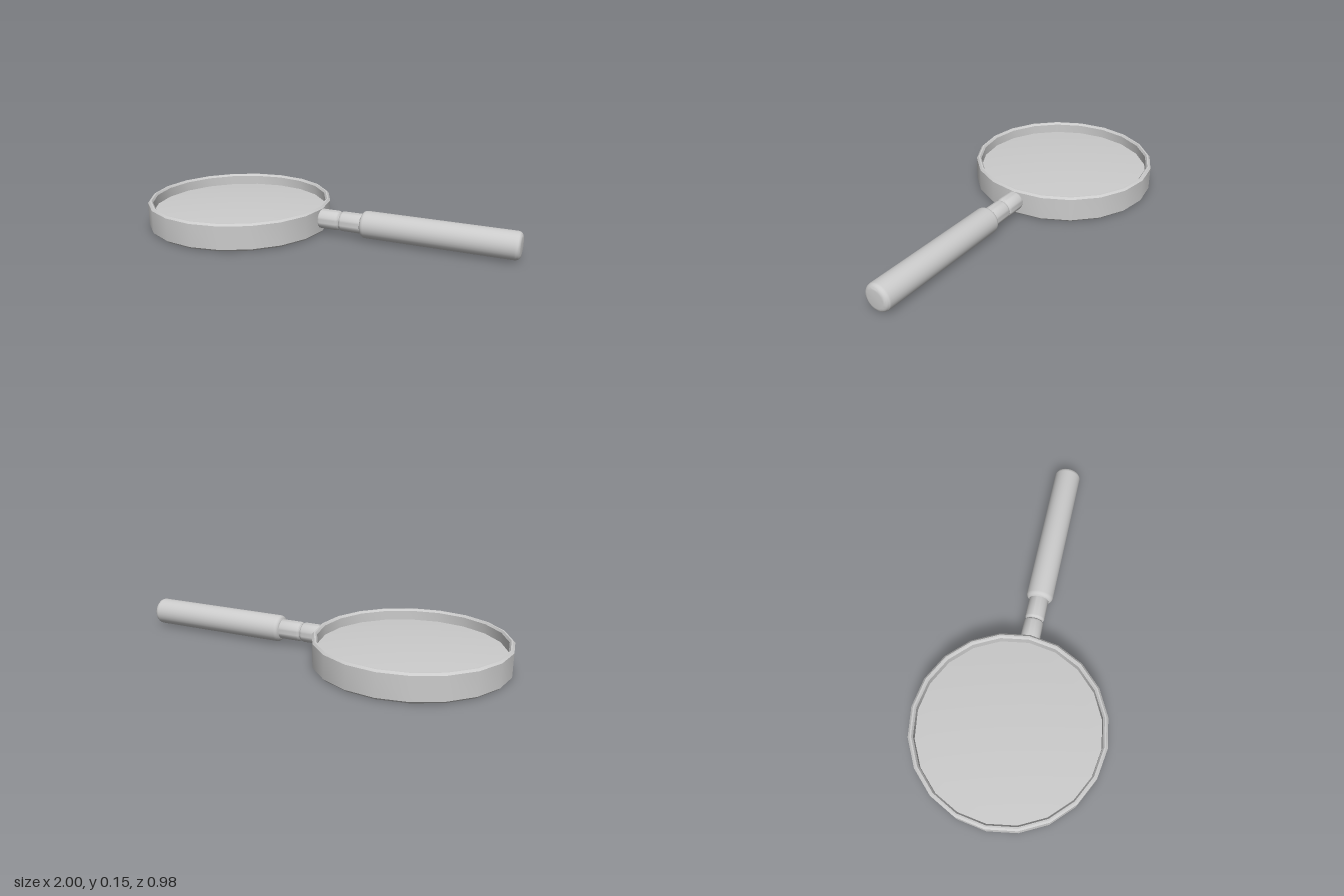
import * as THREE from 'three';
import { toCreasedNormals } from 'three/addons/utils/BufferGeometryUtils.js';

const material = new THREE.MeshStandardMaterial({ color: 0xcccccc });
const CENTER_X = -0.508;
const MID_Y = 0.07;

// Revolves [radius, height] pairs around the y axis, keeping sharp edges.
function turned(name, profile, sides, crease) {
  const points = profile.map(([r, y]) => new THREE.Vector2(r, y));
  const geometry = toCreasedNormals(new THREE.LatheGeometry(points, sides), crease);
  const mesh = new THREE.Mesh(geometry, material);
  mesh.name = name;
  return mesh;
}

// Rod profile from start to end with rounded shoulders.
function rod(start, end, radius, round) {
  const profile = [[0, start]];
  const steps = 5;
  for (let i = 0; i <= steps; i++) {
    const a = (i / steps) * Math.PI / 2;
    profile.push([radius - round + round * Math.sin(a), start + round - round * Math.cos(a)]);
  }
  for (let i = 0; i <= steps; i++) {
    const a = (i / steps) * Math.PI / 2;
    profile.push([radius - round + round * Math.cos(a), end - round + round * Math.sin(a)]);
  }
  profile.push([0, end]);
  return profile;
}

export function createModel() {
  const model = new THREE.Group();
  model.name = 'magnifyingGlass';

  // Faceted rim with small chamfers
  const rim = turned('rim', [
    [0.466, 0.01], [0.474, 0], [0.482, 0], [0.492, 0.01],
    [0.492, 0.13], [0.482, 0.14], [0.474, 0.14], [0.466, 0.13], [0.466, 0.01],
  ], 20, 0.4);
  rim.position.x = CENTER_X;
  model.add(rim);

  // Gently convex lens
  const lensProfile = [];
  const rings = 8;
  for (let i = -rings; i <= rings; i++) {
    if (i === 0) continue;
    const r = 1 - (Math.abs(i) - 1) / (rings - 1);
    const y = 0.01 + 0.02 * (1 - r * r);
    lensProfile.push([0.468 * r, Math.sign(i) * y]);
  }
  const lens = turned('lens', lensProfile, 20, 0.6);
  lens.position.set(CENTER_X, MID_Y, 0);
  model.add(lens);

  // Handle: collar, neck and grip along x
  const handle = new THREE.Group();
  handle.name = 'handle';
  handle.add(
    turned('collar', rod(-0.035, 0.09, 0.051, 0.02), 32, 0.6),
    turned('neckCore', rod(0.06, 0.14, 0.042, 0.005), 32, 0.6),
    turned('neck', rod(0.088, 0.23, 0.051, 0.015), 32, 0.6),
    turned('grip', rod(0.205, 1, 0.07, 0.025), 32, 0.6),
  );
  handle.rotation.z = -Math.PI / 2;
  handle.position.y = 0.077;
  model.add(handle);

  return model;
}
